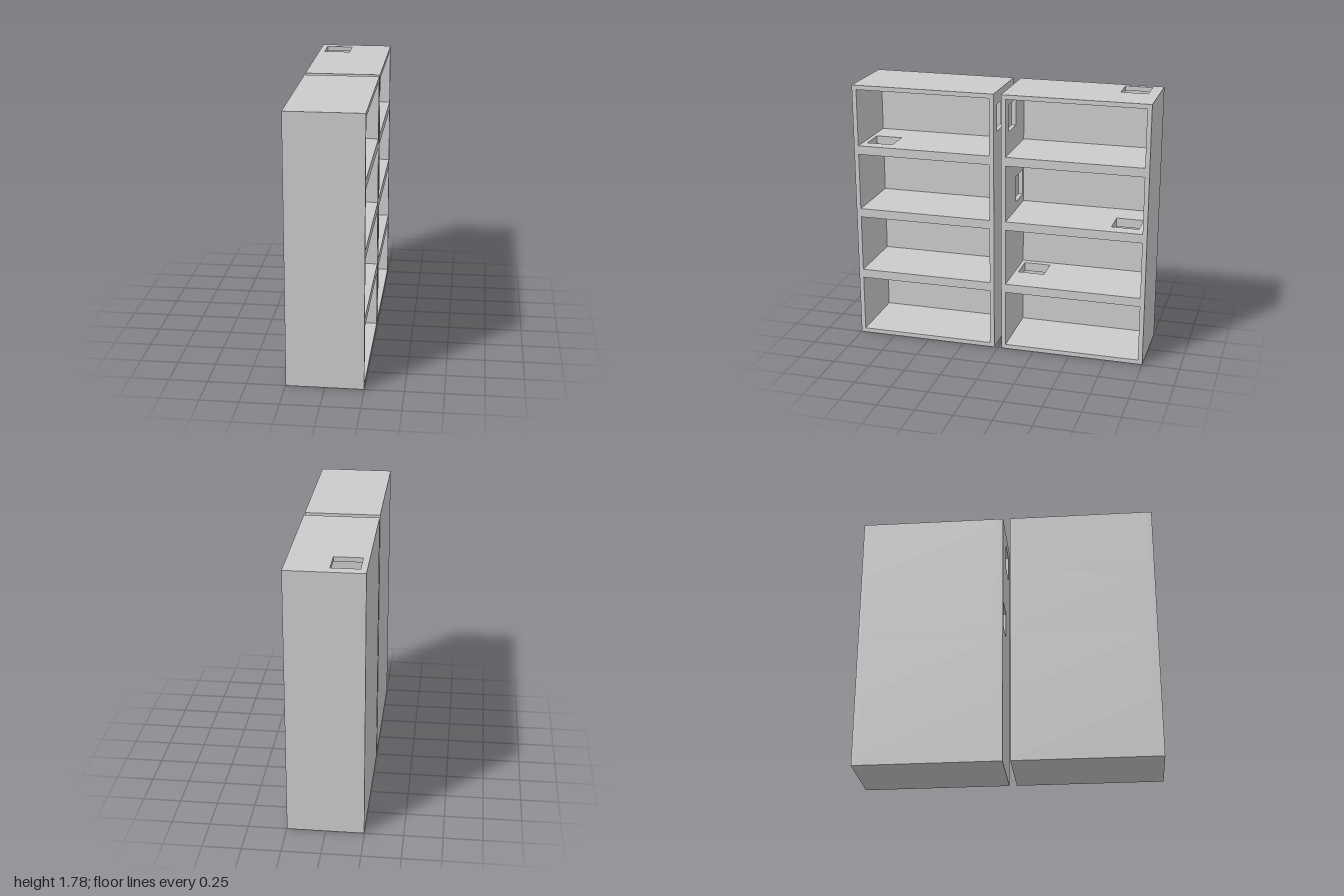
import * as THREE from 'three';

const T = 0.03;        // panel thickness
const PITCH = 0.445;   // height of one compartment module
const H = PITCH * 4;   // total height
const X = 0.248;       // half depth of a cabinet
const Z0 = 0.025, Z1 = 1; // inner and outer end of a cabinet along z
const HOLE = 0.18;     // side of the square openings

const material = new THREE.MeshStandardMaterial({ color: 0xcccccc });

// Rectangular panel in its own plane with square openings at [u, v] centres
function panel(u0, u1, v0, v1, thickness, holes = []) {
  const rect = (P, a, b, c, d) => {
    const p = new P();
    p.moveTo(a, c);
    p.lineTo(b, c);
    p.lineTo(b, d);
    p.lineTo(a, d);
    p.closePath();
    return p;
  };
  const shape = rect(THREE.Shape, u0, u1, v0, v1);
  const h = HOLE / 2;
  for (const [u, v] of holes) shape.holes.push(rect(THREE.Path, u - h, u + h, v - h, v + h));
  return new THREE.ExtrudeGeometry(shape, { depth: thickness, bevelEnabled: false });
}

// One open-fronted cabinet; side is +1 (front) or -1 (back)
function cabinet(name, side, shelfHoles, wallHoles) {
  const group = new THREE.Group();
  group.name = name;
  const add = (geometry, partName) => {
    const mesh = new THREE.Mesh(geometry, material);
    mesh.name = partName;
    group.add(mesh);
  };
  const span = (a, b) => (side > 0 ? [a, b] : [-b, -a]);

  // Upright walls: plain outer one, pierced inner one
  const wall = (a, b, holes, partName) => {
    const [z] = span(a, b);
    add(panel(-X, X, 0, H, T, holes).translate(0, 0, z), partName);
  };
  wall(Z1 - T, Z1, [], 'outerWall');
  wall(Z0, Z0 + T, wallHoles, 'innerWall');

  // Bottom, three double-thick shelves and top
  const [za, zb] = span(Z0 + T, Z1 - T);
  for (let level = 0; level <= 4; level++) {
    const low = Math.max(0, level * PITCH - T);
    const high = Math.min(H, level * PITCH + T);
    const g = panel(-X, X, za, zb, high - low, shelfHoles[level]);
    g.rotateX(Math.PI / 2).translate(0, high, 0);
    add(g, level === 0 ? 'bottom' : level === 4 ? 'top' : 'shelf');
  }

  // Closed back of each compartment
  for (let i = 0; i < 4; i++) {
    const h = PITCH - 2 * T;
    const g = new THREE.BoxGeometry(T, h, zb - za);
    g.translate(-X + T / 2, (i + 0.5) * PITCH, (za + zb) / 2);
    add(g, 'backPanel');
  }
  return group;
}

export function createModel() {
  const model = new THREE.Group();
  model.name = 'twinShelfCabinets';
  // Openings in the facing walls line up across the gap
  const wallHoles = [[0.076, 1.605], [-0.105, 1.065]];
  model.add(
    cabinet('frontCabinet', 1, { 3: [[0.07, 0.85]] }, wallHoles),
    cabinet('backCabinet', -1, {
      1: [[-0.085, -0.17]],
      2: [[0.065, -0.84]],
      4: [[-0.118, -0.84]],
    }, wallHoles),
  );
  return model;
}
